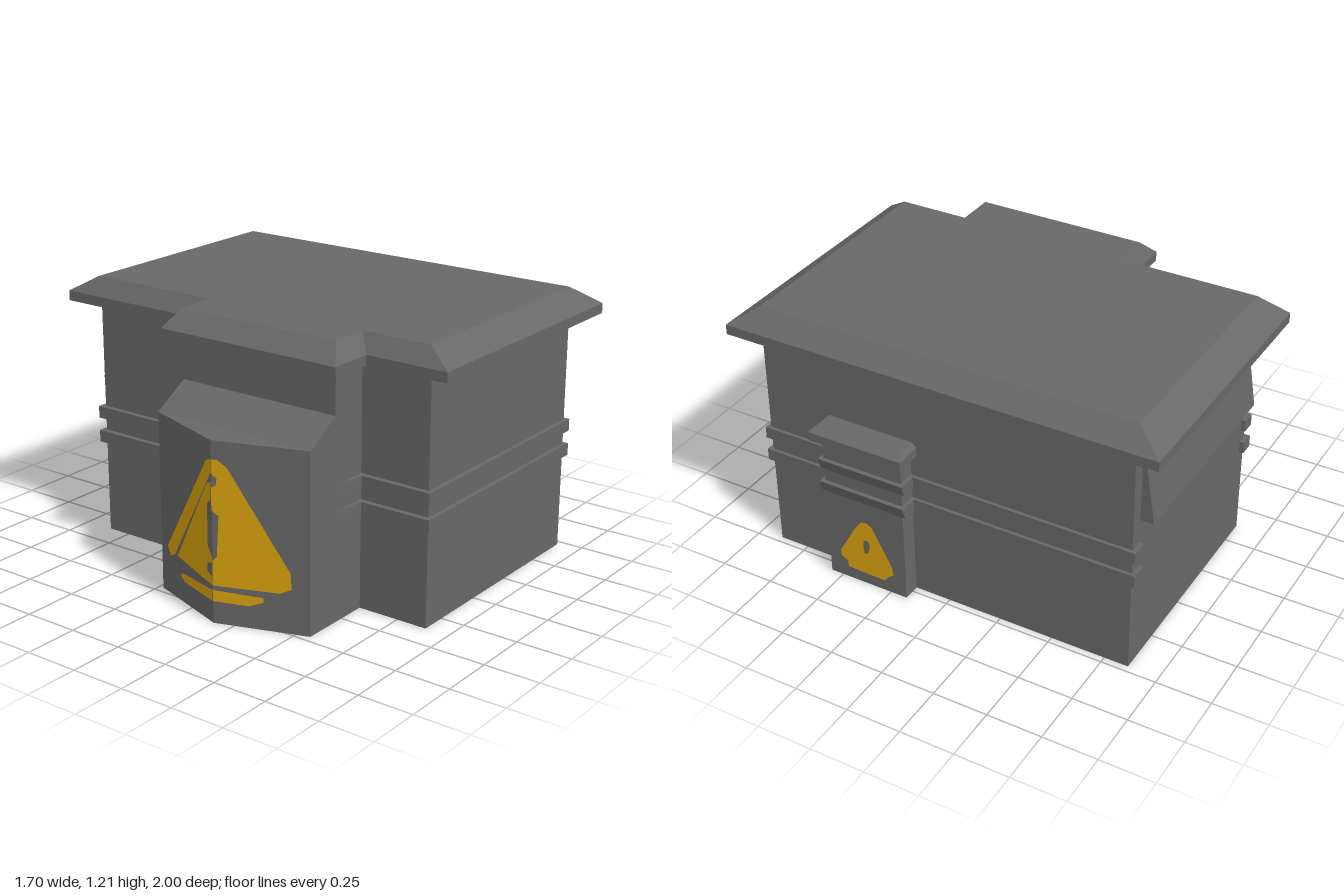
import * as THREE from 'three';

const wall = new THREE.MeshStandardMaterial({ color: 0x686868 });
wall.name = 'concreteGrey';
const paint = new THREE.MeshStandardMaterial({ color: 0xdba40f });
paint.name = 'warningYellow';

// Solid from stacked rings of [x, y, z] points (ordered x towards z), capped at both ends
function loft(rings) {
  const out = [];
  const n = rings[0].length;
  for (let r = 0; r + 1 < rings.length; r++) {
    for (let i = 0; i < n; i++) {
      const j = (i + 1) % n;
      const a = rings[r][i], b = rings[r][j], c = rings[r + 1][j], d = rings[r + 1][i];
      out.push(...a, ...d, ...b, ...b, ...d, ...c);
    }
  }
  const cap = (ring, up) => {
    const flat = ring.map((p) => new THREE.Vector2(p[0], p[2]));
    for (const [i, j, k] of THREE.ShapeUtils.triangulateShape(flat, [])) {
      const cross = flat[j].clone().sub(flat[i]).cross(flat[k].clone().sub(flat[i]));
      const order = (cross < 0) === up ? [i, j, k] : [i, k, j];
      order.forEach((q) => out.push(...ring[q]));
    }
  };
  cap(rings[0], false);
  cap(rings[rings.length - 1], true);
  const g = new THREE.BufferGeometry();
  g.setAttribute('position', new THREE.Float32BufferAttribute(out, 3));
  g.computeVertexNormals();
  return g;
}

const at = (plan, y) => plan.map(([x, z]) => [x, y, z]);
const rect = (x0, x1, z0, z1) => [[x0, z0], [x1, z0], [x1, z1], [x0, z1]];

export function createModel() {
  const model = new THREE.Group();
  const add = (name, geometry, material = wall, parent = model) => {
    const mesh = new THREE.Mesh(geometry, material);
    mesh.name = name;
    parent.add(mesh);
    return mesh;
  };
  const block = (name, plan, y0, y1) => add(name, loft([at(plan, y0), at(plan, y1)]));

  // Main walls and the side bay
  block('mainWalls', rect(-0.37, 0.72, -0.86, 0.89), 0, 1.1);
  block('bayWalls', rect(-0.55, -0.37, -0.23, 0.56), 0, 1.1);

  // Lower bay: sloped shoulder and pointed prow
  const shoulder = rect(-0.715, -0.55, -0.23, 0.56);
  add('bayShoulder', loft([
    at(shoulder, 0),
    shoulder.map(([x, z]) => [x, x < -0.6 ? 0.8 : 0.9, z]),
  ]));
  block('bayProw', [[-0.85, 0.165], [-0.715, -0.23], [-0.715, 0.56]], 0, 0.8);

  // Roof slab with bevelled edge
  const eave = [[-0.43, -1], [0.815, -1], [0.815, 1], [-0.43, 1],
    [-0.43, 0.62], [-0.635, 0.62], [-0.635, -0.275], [-0.43, -0.275]];
  const crown = [[-0.37, -0.87], [0.72, -0.87], [0.72, 0.885], [-0.37, 0.885],
    [-0.37, 0.56], [-0.55, 0.56], [-0.55, -0.23], [-0.37, -0.23]];
  add('roof', loft([at(eave, 1.09), at(eave, 1.135), at(crown, 1.21)]));

  // Pillar with bevelled cap
  block('pillar', rect(0.72, 0.8, 0.17, 0.56), 0, 0.72);
  const capPlan = rect(0.715, 0.845, 0.14, 0.595);
  add('pillarCap', loft([at(capPlan, 0.71), at(capPlan, 0.75), at(rect(0.715, 0.8, 0.16, 0.575), 0.77)]));

  // Pairs of wall bands, tapering out on the bay and wrapping the back corners
  const frontBand = [[0.66, -0.86], [0.66, -0.88], [0.735, -0.88], [0.735, 0.91], [-0.395, 0.91],
    [-0.395, 0.58], [-0.55, 0.56], [-0.3, 0.5], [0.6, 0.5]];
  const backBand = [[-0.55, -0.23], [-0.395, -0.25], [-0.395, -0.88], [-0.33, -0.88],
    [-0.33, -0.86], [-0.3, -0.2]];
  for (const y of [0.435, 0.55]) {
    block('frontBand', frontBand, y, y + 0.055);
    block('backBand', backBand, y, y + 0.055);
    add('pillarBand', loft([
      at(rect(0.72, 0.803, 0.155, 0.575), y),
      at(rect(0.72, 0.82, 0.155, 0.575), y + 0.055),
    ]));
  }

  // Slanted shutter on the back
  add('backShutter', loft([
    at(rect(-0.31, 0.66, -0.92, -0.85), 0.715),
    at(rect(-0.31, 0.66, -0.862, -0.85), 1.09),
  ]));

  // Painted warning marks: local x runs along the wall direction (dx, dz)
  const sign = (name, x, z, dx, dz, outlines, holes = []) => {
    const group = new THREE.Group();
    group.name = name;
    const len = Math.hypot(dx, dz);
    group.position.set(x - (dz / len) * 0.004, 0, z + (dx / len) * 0.004);
    group.rotation.y = Math.atan2(-dz, dx);
    const toPoints = (list) => list.map(([u, v]) => new THREE.Vector2(u, v));
    outlines.forEach((outline, i) => {
      const shape = new THREE.Shape(toPoints(outline));
      if (i === 0) shape.holes = holes.map((h) => new THREE.Path(toPoints(h)));
      add('warningMark', new THREE.ShapeGeometry(shape), paint, group);
    });
    model.add(group);
  };

  sign('pillarSign', 0.8, 0.365, 0, -1, [
    [[-0.1, 0.06], [0.09, 0.055], [0.105, 0.08], [0.135, 0.1], [0.13, 0.14], [0.035, 0.32],
      [0.01, 0.335], [-0.02, 0.33], [-0.05, 0.29], [-0.135, 0.14], [-0.135, 0.11], [-0.1, 0.09]],
  ], [[[-0.01, 0.165], [0.01, 0.175], [0.02, 0.22], [0.01, 0.24], [-0.012, 0.235], [-0.015, 0.2]]]);

  sign('prowBackSign', -0.85, 0.165, -0.135, 0.395, [
    [[-0.28, 0.2], [0, 0.17], [0, 0.21], [-0.035, 0.22], [-0.035, 0.26], [0, 0.27], [0, 0.3],
      [-0.03, 0.34], [-0.03, 0.52], [0, 0.55], [0, 0.62], [-0.03, 0.61]],
    [[-0.36, 0.22], [-0.34, 0.18], [-0.3, 0.2], [0, 0.66], [0, 0.72], [-0.03, 0.71]],
    [[-0.26, 0.12], [-0.22, 0.1], [0, 0.1], [0, 0.15], [-0.24, 0.135]],
  ]);
  sign('prowFrontSign', -0.85, 0.165, 0.135, 0.395, [
    [[0, 0.17], [0.29, 0.175], [0.34, 0.2], [0.335, 0.27], [0.07, 0.69], [0.03, 0.72], [0, 0.72],
      [0, 0.66], [0.025, 0.64], [0.02, 0.61], [0, 0.6], [0, 0.5], [0.03, 0.48], [0.02, 0.3], [0, 0.28]],
    [[0, 0.1], [0.16, 0.1], [0.22, 0.125], [0.22, 0.145], [0, 0.15]],
  ]);

  return model;
}
